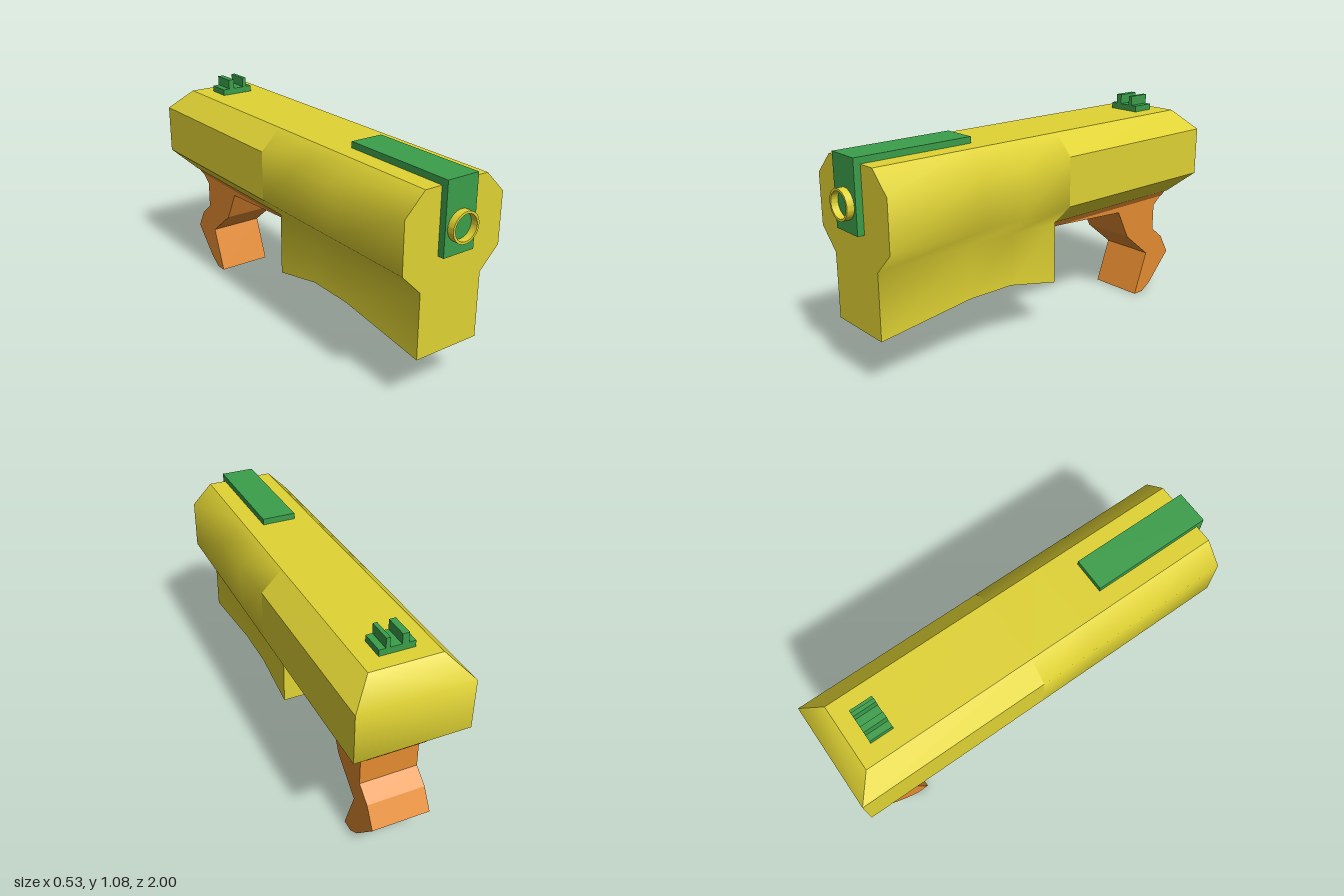
import * as THREE from 'three';
import { toCreasedNormals } from 'three/addons/utils/BufferGeometryUtils.js';

const yellow = new THREE.MeshStandardMaterial({ color: 0xe0d333, name: 'yellow' });
const orange = new THREE.MeshStandardMaterial({ color: 0xe38b31, name: 'orange' });
const green = new THREE.MeshStandardMaterial({ color: 0x3b9e4a, name: 'green' });

// Smooth skin through rows of [x, y, z] points
function skin(rows) {
  const n = rows[0].length, index = [];
  for (let i = 0; i < rows.length - 1; i++) {
    for (let j = 0; j < n - 1; j++) {
      const a = i * n + j, b = a + n;
      index.push(a, b, b + 1, a, b + 1, a + 1);
    }
  }
  const g = new THREE.BufferGeometry();
  g.setAttribute('position', new THREE.Float32BufferAttribute(rows.flat(2), 3));
  g.setIndex(index);
  g.computeVertexNormals();
  return g;
}

const W = 0.167, WIDE = 0.266;
const mirrored = (pts) => pts.map(([x, ...rest]) => [-x, ...rest]).reverse();

export function createModel() {
  const model = new THREE.Group();
  const add = (parent, name, geometry, material) => {
    const mesh = new THREE.Mesh(geometry, material);
    mesh.name = name;
    parent.add(mesh);
    return mesh;
  };
  const box = (parent, name, [x0, x1], [y0, y1], [z0, z1], material) =>
    add(parent, name, new THREE.BoxGeometry(x1 - x0, y1 - y0, z1 - z0), material)
      .position.set((x0 + x1) / 2, (y0 + y1) / 2, (z0 + z1) / 2);

  // Front housing: smooth sides, arched underside
  const front = new THREE.Group();
  front.name = 'frontHousing';
  model.add(front);
  const half = (b) => [[W, b], [W, 0.56], [WIDE, 0.66], [WIDE, 0.9], [W, 1]];
  const stations = [[0.935, 0.25], [0.46, 0.31], [0.22, 0.31], [-0.06, 0.25]];
  const right = stations.map(([z, b]) => half(b).map(([x, y]) => [x, y, z]));
  const left = right.map(mirrored);
  add(front, 'leftSide', skin(right), yellow);
  add(front, 'rightSide', skin(left), yellow);
  add(front, 'top', skin(right.map((r, i) => [r[4], left[i][0]])), yellow);
  add(front, 'underside', skin(right.map((r, i) => [left[i][4], r[0]])), yellow);
  const outline = [...half(0.25), ...mirrored(half(0.25))].map(([x, y]) => new THREE.Vector2(x, y));
  const cap = new THREE.ShapeGeometry(new THREE.Shape(outline));
  add(front, 'frontFace', cap, yellow).position.z = 0.935;
  const rearFace = add(front, 'rearFace', cap, yellow);
  rearFace.position.z = -0.06;
  rearFace.rotation.y = Math.PI;

  // Rear housing: flat octagonal sides with a bevelled back end
  const rear = new THREE.Group();
  rear.name = 'rearHousing';
  model.add(rear);
  const rearHalf = half(0).slice(1);
  const ring = [...rearHalf, ...mirrored(rearHalf)];
  const endPoint = ([x, y]) => [x, y, Math.abs(x) > 0.2 ? -1 : -0.9];
  ring.forEach((p, i) => {
    const q = ring[(i + 1) % ring.length];
    add(rear, 'rearPanel', skin([[[...p, -0.06], [...q, -0.06]], [endPoint(p), endPoint(q)]]), yellow);
  });
  add(rear, 'backEnd', skin(rearHalf.map(([x, y]) => [endPoint([-x, y]), endPoint([x, y])])), yellow);

  // Lower frame and angled grip in one profile (z, y)
  const profile = [
    [-0.06, 0.56], [-0.06, 0.53], [-0.545, 0.5], [-0.62, 0.35], [-0.78, 0.22], [-0.7, 0],
    [-0.76, 0], [-0.82, 0.04], [-0.957, 0.19], [-0.9, 0.29], [-0.825, 0.35], [-0.825, 0.485],
    [-0.88, 0.53], [-0.885, 0.56],
  ].map(([z, y]) => new THREE.Vector2(z, y));
  const grip = new THREE.ExtrudeGeometry(new THREE.Shape(profile), { depth: 0.28, bevelEnabled: false });
  grip.rotateY(-Math.PI / 2).translate(0.14, 0, 0);
  add(model, 'grip', grip, orange);

  // Flared strips where the frame meets the housing
  const flare = [[0.14, 0.527], [0.163, 0.56]];
  const strip = [-0.06, -0.885].map((z) => flare.map(([x, y]) => [x, y, z]));
  add(model, 'leftFrameFlare', skin(strip), orange);
  add(model, 'rightFrameFlare', skin(strip.map(mirrored)), orange);

  // Front sight rail folding down over the muzzle plate
  box(model, 'muzzlePlate', [-0.082, 0.082], [0.7, 1.03], [0.935, 0.967], green);
  box(model, 'topRail', [-0.082, 0.082], [0.99, 1.03], [0.375, 0.935], green);

  // Rear sight
  box(model, 'rearSightBase', [-0.082, 0.082], [0.99, 1.03], [-0.825, -0.712], green);
  box(model, 'rearSightPost', [-0.05, -0.02], [1.03, 1.077], [-0.825, -0.712], green);
  box(model, 'rearSightPost', [0.033, 0.052], [1.03, 1.077], [-0.825, -0.712], green);

  // Hollow muzzle ring
  const disc = new THREE.Shape().absarc(0, 0, 0.07, 0, Math.PI * 2);
  disc.holes.push(new THREE.Path().absarc(0, 0, 0.059, 0, Math.PI * 2, true));
  const muzzle = new THREE.ExtrudeGeometry(disc, { depth: 0.035, bevelEnabled: false, curveSegments: 32 });
  add(model, 'muzzleRing', toCreasedNormals(muzzle, 0.6), yellow).position.set(0, 0.824, 0.965);

  return model;
}
